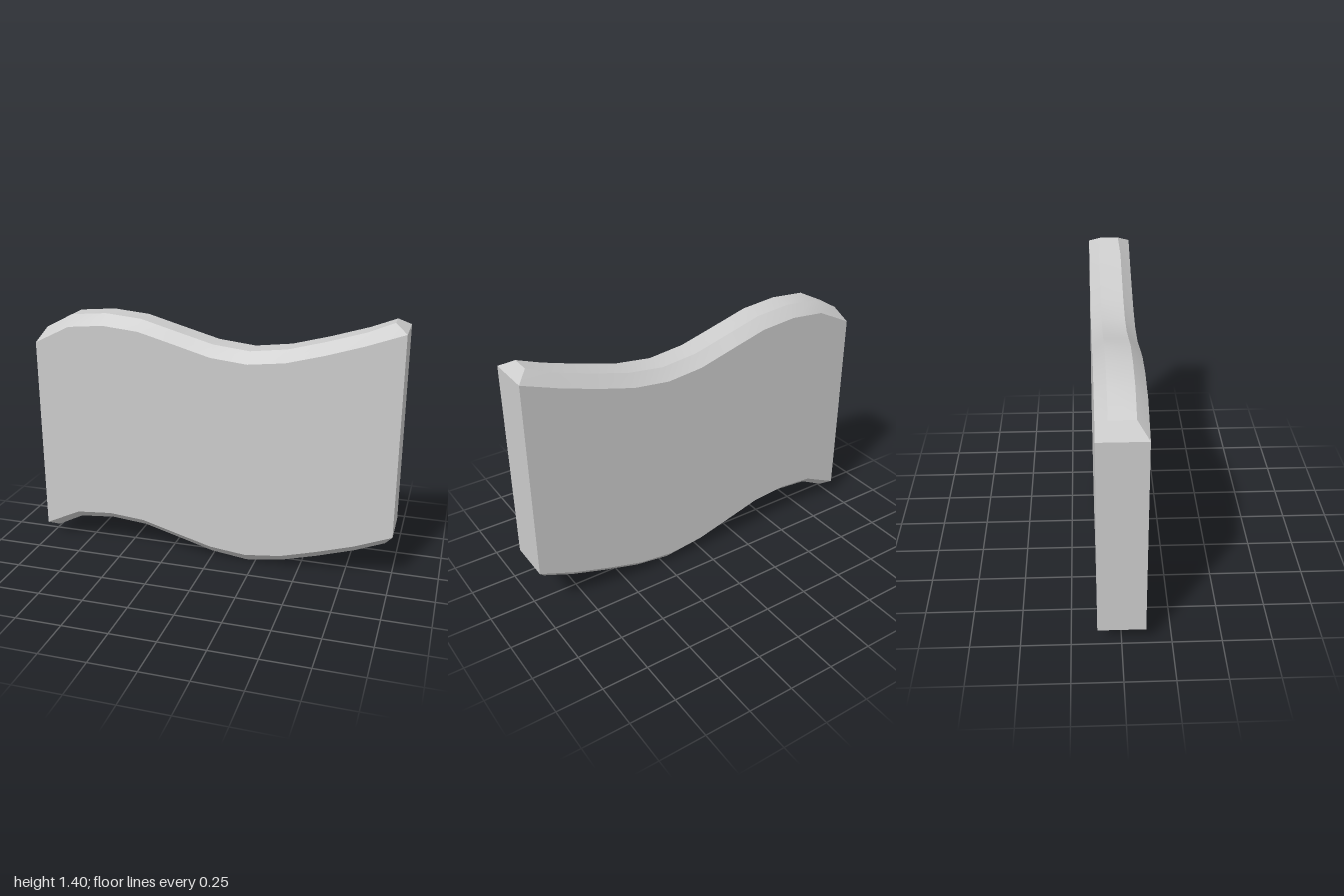
import * as THREE from 'three';
import { toCreasedNormals } from 'three/addons/utils/BufferGeometryUtils.js';

// Shared stations along the wave; the two ends differ from level to level
const stations = [-0.8, -0.6, -0.4, -0.2, 0, 0.2, 0.4, 0.6, 0.8];

// Each level from bottom to top: end positions, half depths and wave heights
const levels = [
  { left: -0.95, right: 0.96, depth: 0.075, endDepth: 0.072,
    y: [0.063, 0.138, 0.156, 0.138, 0.082, 0.026, 0, 0.028, 0.083, 0.146, 0.21] },
  { left: -1, right: 1, depth: 0.12, endDepth: 0.12,
    y: [0.09, 0.183, 0.2, 0.183, 0.127, 0.072, 0.05, 0.073, 0.128, 0.19, 0.27] },
  { left: -1, right: 1, depth: 0.12, endDepth: 0.12,
    y: [1.18, 1.279, 1.298, 1.279, 1.224, 1.168, 1.147, 1.17, 1.224, 1.287, 1.36] },
  { left: -0.95, right: 0.935, depth: 0.063, endDepth: 0.052,
    y: [1.26, 1.337, 1.355, 1.337, 1.281, 1.226, 1.204, 1.229, 1.283, 1.345, 1.4] },
];

// Closed ring: along the front to the left end, then back along the rear
function makeRing({ left, right, depth, endDepth, y }) {
  const front = [left, ...stations, right].map((x, i) =>
    [x, y[i], i === y.length - 1 ? endDepth : depth]);
  const back = front.map(([x, h, z]) => [x, h, -z]).reverse();
  return [...front, ...back];
}

function wavySlab() {
  const rings = levels.map(makeRing);
  const n = rings[0].length;
  const positions = [];
  const quad = (a, b, c, d) => positions.push(...[a, b, c, a, c, d].flat());

  // Walls and bevels
  for (let l = 0; l < rings.length - 1; l++) {
    for (let i = 0; i < n; i++) {
      const j = (i + 1) % n;
      quad(rings[l][i], rings[l][j], rings[l + 1][j], rings[l + 1][i]);
    }
  }
  // Wavy top and bottom faces
  const bottom = rings[0];
  const top = rings[rings.length - 1];
  for (let i = 0; i < n / 2 - 1; i++) {
    quad(top[i], top[i + 1], top[n - 2 - i], top[n - 1 - i]);
    quad(bottom[n - 1 - i], bottom[n - 2 - i], bottom[i + 1], bottom[i]);
  }

  const geometry = new THREE.BufferGeometry();
  geometry.setAttribute('position', new THREE.Float32BufferAttribute(positions, 3));
  return toCreasedNormals(geometry, 0.5);
}

export function createModel() {
  const group = new THREE.Group();
  group.name = 'wavyPanel';
  const slab = new THREE.Mesh(wavySlab(), new THREE.MeshStandardMaterial({ color: 0xcccccc }));
  slab.name = 'bevelledSlab';
  group.add(slab);
  return group;
}
